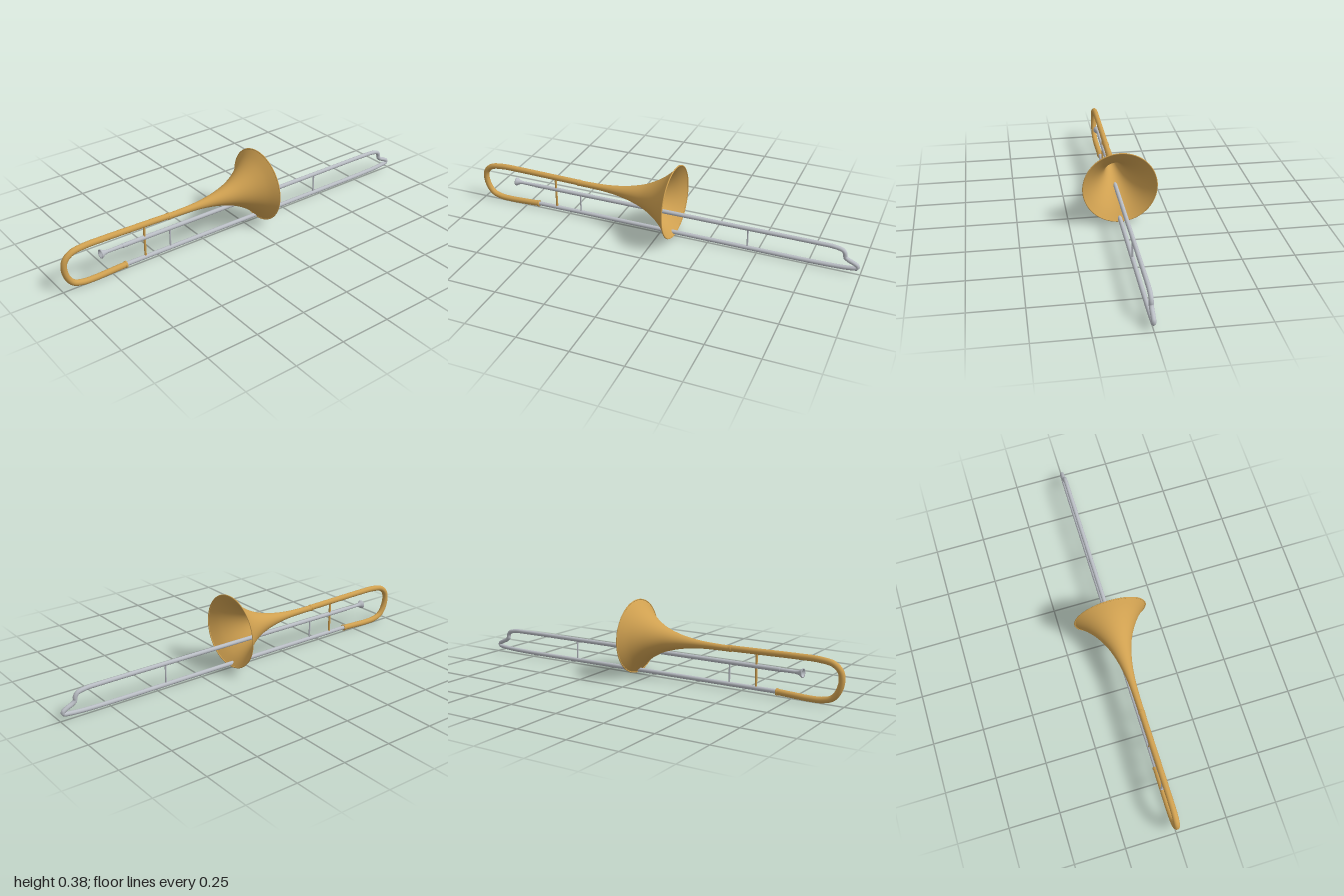
import * as THREE from 'three';

export function createModel() {
  const group = new THREE.Group();
  const brass = new THREE.MeshStandardMaterial({ color: 0xcfa050, side: THREE.DoubleSide });
  brass.name = 'brass';
  const silver = new THREE.MeshStandardMaterial({ color: 0xb9bdc4, side: THREE.DoubleSide });
  silver.name = 'silver';

  const add = (name, geometry, material, x = 0, y = 0) => {
    const mesh = new THREE.Mesh(geometry, material);
    mesh.name = name;
    mesh.position.set(x, y, 0);
    group.add(mesh);
    return mesh;
  };

  // Tube through [x, y] points with rounded ends
  const tube = (name, points, radius, material, segments) => {
    const v = points.map(([x, y]) => new THREE.Vector3(x, y, 0));
    const curve = new THREE.CatmullRomCurve3(v, false, 'centripetal');
    add(name, new THREE.TubeGeometry(curve, segments, radius, 20), material);
    for (const p of [v[0], v[v.length - 1]]) {
      const end = new THREE.SphereGeometry(radius, 20, 12);
      end.scale(0.4, 1, 1);
      add(name + 'End', end, material, p.x, p.y);
    }
  };

  // Round profile of [x, radius] points turned about a horizontal axis
  const turned = (name, profile, y, material, smooth = false) => {
    let pts = profile.map(([x, r]) => new THREE.Vector2(r, x));
    if (smooth) pts = new THREE.SplineCurve(pts).getPoints(48);
    const geometry = new THREE.LatheGeometry(pts, 64);
    geometry.rotateZ(-Math.PI / 2);
    add(name, geometry, material, 0, y);
  };

  // Flared bell and its rolled rim
  turned('bell', [
    [-0.44, 0.0145], [-0.36, 0.0155], [-0.28, 0.019], [-0.2, 0.029], [-0.13, 0.045],
    [-0.07, 0.066], [-0.01, 0.099], [0.04, 0.138], [0.08, 0.181],
  ], 0.195, brass, true);
  const rim = new THREE.TorusGeometry(0.181, 0.003, 10, 72);
  rim.rotateY(Math.PI / 2);
  add('bellRim', rim, brass, 0.079, 0.195);

  // Tuning bow at the back
  tube('tuningBow', [
    [-0.43, 0.197], [-0.6, 0.2], [-0.78, 0.203], [-0.88, 0.202], [-0.945, 0.19],
    [-0.978, 0.16], [-0.985, 0.12], [-0.972, 0.07], [-0.945, 0.036], [-0.9, 0.021],
    [-0.84, 0.018], [-0.76, 0.021], [-0.68, 0.025],
  ], 0.0145, brass, 140);

  // Slide: upper run, notched end bow, lower run
  tube('slide', [
    [-0.69, 0.13], [-0.2, 0.13], [0.4, 0.13], [0.8, 0.13], [0.87, 0.128],
    [0.91, 0.118], [0.922, 0.1], [0.922, 0.086], [0.936, 0.073], [0.965, 0.06],
    [0.985, 0.047], [0.984, 0.037], [0.955, 0.031], [0.89, 0.026], [0.75, 0.023],
    [0.3, 0.024], [-0.2, 0.025], [-0.69, 0.026],
  ], 0.0105, silver, 360);

  // Joint collars
  const collar = (name, x, y, r, material) =>
    turned(name, [[x - 0.004, r - 0.002], [x - 0.004, r], [x + 0.004, r], [x + 0.004, r - 0.002]], y, material);
  collar('bellCollar', -0.44, 0.196, 0.0165, brass);
  collar('bowCollar', -0.68, 0.025, 0.0165, brass);

  // Mouthpiece with a hollow cup
  turned('mouthpiece', [
    [-0.786, 0.004], [-0.795, 0.013], [-0.803, 0.018], [-0.805, 0.021], [-0.8, 0.0215],
    [-0.792, 0.016], [-0.782, 0.011], [-0.765, 0.008], [-0.73, 0.0085], [-0.68, 0.0095],
  ], 0.13, silver);

  // Cross braces
  const brace = (name, x, bottom, top, radius, material) =>
    add(name, new THREE.CylinderGeometry(radius, radius, top - bottom, 14), material, x, (bottom + top) / 2);
  brace('bellBrace', -0.573, 0.025, 0.199, 0.0055, brass);
  brace('rearSlideBrace', -0.435, 0.025, 0.13, 0.004, silver);
  brace('frontSlideBrace', 0.453, 0.025, 0.13, 0.004, silver);

  return group;
}
